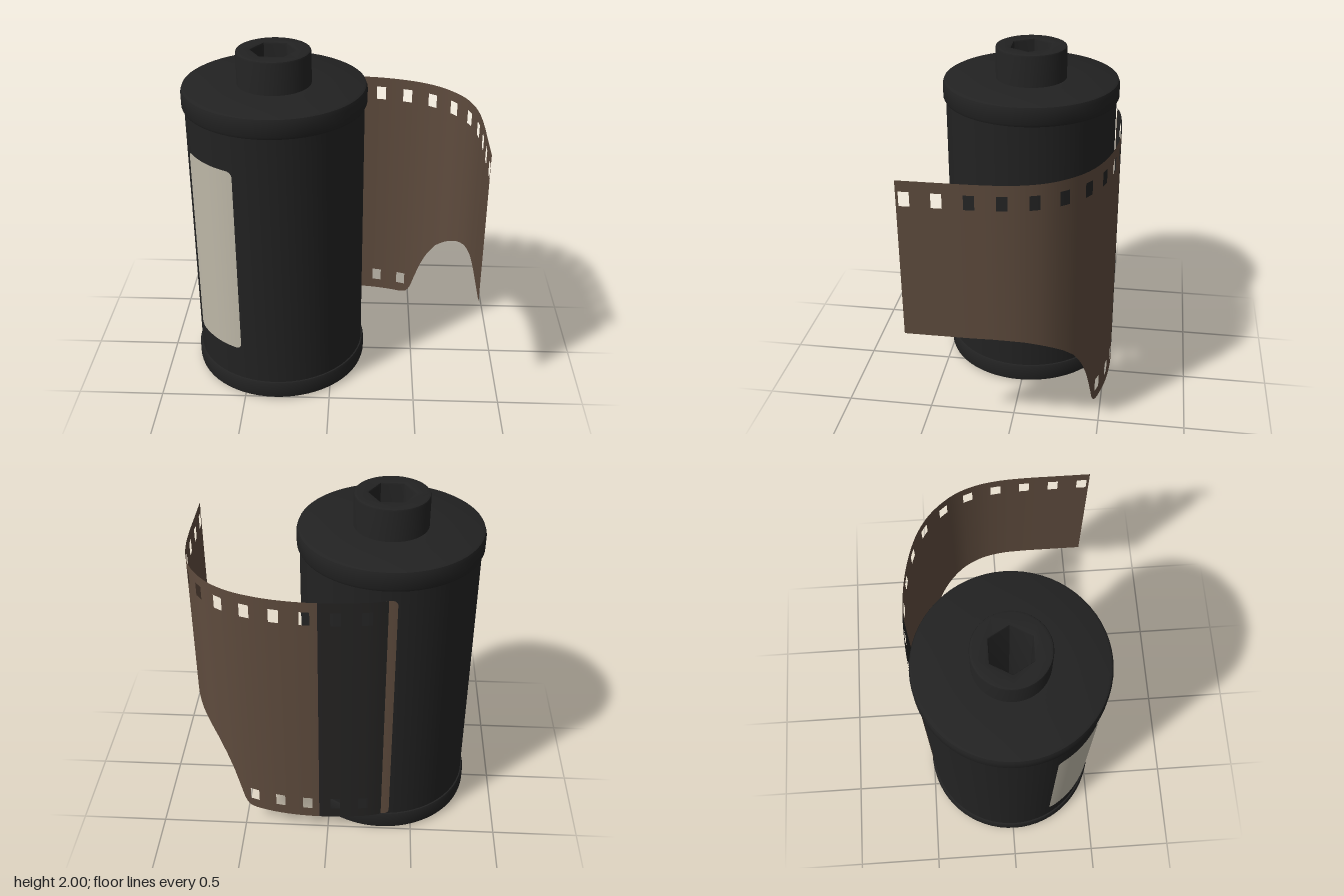
import * as THREE from 'three';
import { toCreasedNormals } from 'three/addons/utils/BufferGeometryUtils.js';

const CX = -0.32, CZ = 0.01; // canister axis

function material(name, color, side = THREE.FrontSide) {
  const m = new THREE.MeshStandardMaterial({ color, side });
  m.name = name;
  return m;
}

function mesh(name, geometry, mat) {
  const m = new THREE.Mesh(geometry, mat);
  m.name = name;
  return m;
}

function geometryFrom(positions, index) {
  const g = new THREE.BufferGeometry();
  g.setAttribute('position', new THREE.Float32BufferAttribute(positions, 3));
  g.setIndex(index);
  g.computeVertexNormals();
  return g;
}

// Thin rounded plate wrapped on the canister; angles in degrees from +z towards +x
function wrappedPlate(radius, a0, a1, y0, y1, corner) {
  const n = 48, pos = [], idx = [];
  const width = THREE.MathUtils.degToRad(a1 - a0) * radius;
  for (let i = 0; i <= n; i++) {
    // columns bunch up near the ends, where the corners are
    const t = (1 - Math.cos(Math.PI * i / n)) / 2;
    const a = THREE.MathUtils.degToRad(a0 + (a1 - a0) * t);
    const d = Math.max(0, corner - width * Math.min(t, 1 - t));
    const inset = corner - Math.sqrt(Math.max(0, corner * corner - d * d));
    const x = CX + Math.sin(a) * radius, z = CZ + Math.cos(a) * radius;
    pos.push(x, y0 + inset, z, x, y1 - inset, z);
    if (i < n) {
      const k = i * 2;
      idx.push(k, k + 2, k + 3, k, k + 3, k + 1);
    }
  }
  return geometryFrom(pos, idx);
}

// Lower edge of the film: full width first, then the curved cut of the leader
const CUT = [[0.44, 0.12], [0.475, 0.13], [0.5, 0.165], [0.53, 0.27], [0.56, 0.37],
  [0.6, 0.47], [0.65, 0.56], [0.7, 0.62], [0.76, 0.68], [0.8, 0.72], [0.825, 0.74]];
function lowerEdge(x) {
  if (x <= CUT[0][0]) return CUT[0][1];
  for (let i = 1; i < CUT.length; i++) {
    const [xa, ya] = CUT[i - 1], [xb, yb] = CUT[i];
    if (x <= xb) return THREE.MathUtils.lerp(ya, yb, (x - xa) / (xb - xa));
  }
  return 0.74;
}

// Film sheet with sprocket holes, split into a dark start and a brown rest
function buildFilm() {
  const path = new THREE.CatmullRomCurve3([
    [-0.32, -0.497], [-0.27, -0.512], [-0.2, -0.525], [0.05, -0.54], [0.25, -0.525],
    [0.4, -0.492], [0.52, -0.447], [0.62, -0.385], [0.7, -0.305], [0.76, -0.215],
    [0.8, -0.105], [0.82, 0.01], [0.828, 0.15], [0.829, 0.34], [0.829, 0.535],
  ].map(([x, z]) => new THREE.Vector3(x, 0, z)), false, 'centripetal');
  path.arcLengthDivisions = 600;
  const length = path.getLength();
  const pitch = 0.1636, holeWidth = 0.056, firstHole = 0.605 - 3 * pitch;

  // column stations: three steps over each hole, eight over each gap
  const stations = [{ s: 0, hole: false }];
  for (let c = firstHole - pitch; c < length + pitch; c += pitch) {
    for (let i = 0; i < 11; i++) {
      const hole = i < 3;
      const s = c - holeWidth / 2 + (hole ? holeWidth * i / 3
        : holeWidth + (pitch - holeWidth) * (i - 3) / 8);
      if (s > 0.002 && s < length - 0.002) stations.push({ s, hole });
    }
  }
  stations.push({ s: length, hole: false });

  const levels = [0.12, 0.185, 0.265, 1.0, 1.5, 1.58, 1.64];
  const rows = levels.length, pos = [], brown = [], dark = [];
  stations.forEach(({ s, hole }, i) => {
    const p = path.getPointAt(s / length);
    const low = lowerEdge(p.x);
    levels.forEach(y => pos.push(p.x, Math.max(y, low), p.z));
    if (i === stations.length - 1) return;
    const next = path.getPointAt(stations[i + 1].s / length);
    const nextLow = lowerEdge(next.x);
    const target = (p.x + next.x) / 2 < 0.05 && p.z < -0.4 ? dark : brown;
    for (let r = 0; r < rows - 1; r++) {
      if (levels[r + 1] <= Math.min(low, nextLow)) continue;
      if (hole && (r === 4 || (r === 1 && nextLow < 0.15))) continue;
      const a = i * rows + r, b = a + rows;
      target.push(a, b, b + 1, a, b + 1, a + 1);
    }
  });
  const g = geometryFrom(pos, [...brown, ...dark]);
  g.addGroup(0, brown.length, 0);
  g.addGroup(brown.length, dark.length, 1);
  return g;
}

export function createModel() {
  const black = material('canister black', 0x222222);
  const brown = material('film brown', 0x5e4b3d, THREE.DoubleSide);
  const darkFilm = material('film dark', 0x252423, THREE.DoubleSide);
  const cream = material('label cream', 0xbdb7a7, THREE.DoubleSide);
  const model = new THREE.Group();
  model.name = 'filmCanister';

  // Body and end caps: one turned part each
  const turned = (name, points) => {
    const g = new THREE.LatheGeometry(points.map(([r, y]) => new THREE.Vector2(r, y)), 64);
    const m = mesh(name, toCreasedNormals(g, 0.5), black);
    m.position.set(CX, 0, CZ);
    model.add(m);
  };
  turned('body', [[0.5, 0.1], [0.5, 1.71]]);
  turned('bottomCap', [[0.18, 0.004], [0.495, 0.004], [0.511, 0.015], [0.515, 0.03],
    [0.515, 0.1], [0.508, 0.117], [0.49, 0.12]]);
  turned('topCap', [[0.49, 1.692], [0.508, 1.695], [0.515, 1.71], [0.515, 1.785],
    [0.508, 1.805], [0.495, 1.812], [0.18, 1.812]]);

  // Spool: round core with a six-sided hole right through
  const bevel = 0.012;
  const core = new THREE.Shape().absarc(0, 0, 0.207 - bevel, 0, Math.PI * 2, false);
  const bore = new THREE.Path();
  for (let i = 0; i < 6; i++) {
    const a = -i * Math.PI / 3, r = 0.128 + bevel;
    bore[i ? 'lineTo' : 'moveTo'](Math.cos(a) * r, Math.sin(a) * r);
  }
  bore.closePath();
  core.holes.push(bore);
  const spoolGeometry = new THREE.ExtrudeGeometry(core, {
    depth: 2 - 2 * bevel, curveSegments: 40, bevelEnabled: true,
    bevelThickness: bevel, bevelSize: bevel, bevelSegments: 2,
  });
  spoolGeometry.rotateX(-Math.PI / 2).translate(CX, bevel, CZ);
  model.add(mesh('spool', toCreasedNormals(spoolGeometry, 0.5), black));

  // Label on the front, and the lip of the film slot at the back
  model.add(mesh('label', wrappedPlate(0.505, -64.5, -22.5, 0.33, 1.485, 0.035), cream));
  model.add(mesh('slotLip', wrappedPlate(0.508, 176, 185, 0.125, 1.64, 0.03), brown));

  // Film strip curling out of the slot
  model.add(mesh('filmStrip', buildFilm(), [brown, darkFilm]));
  return model;
}
